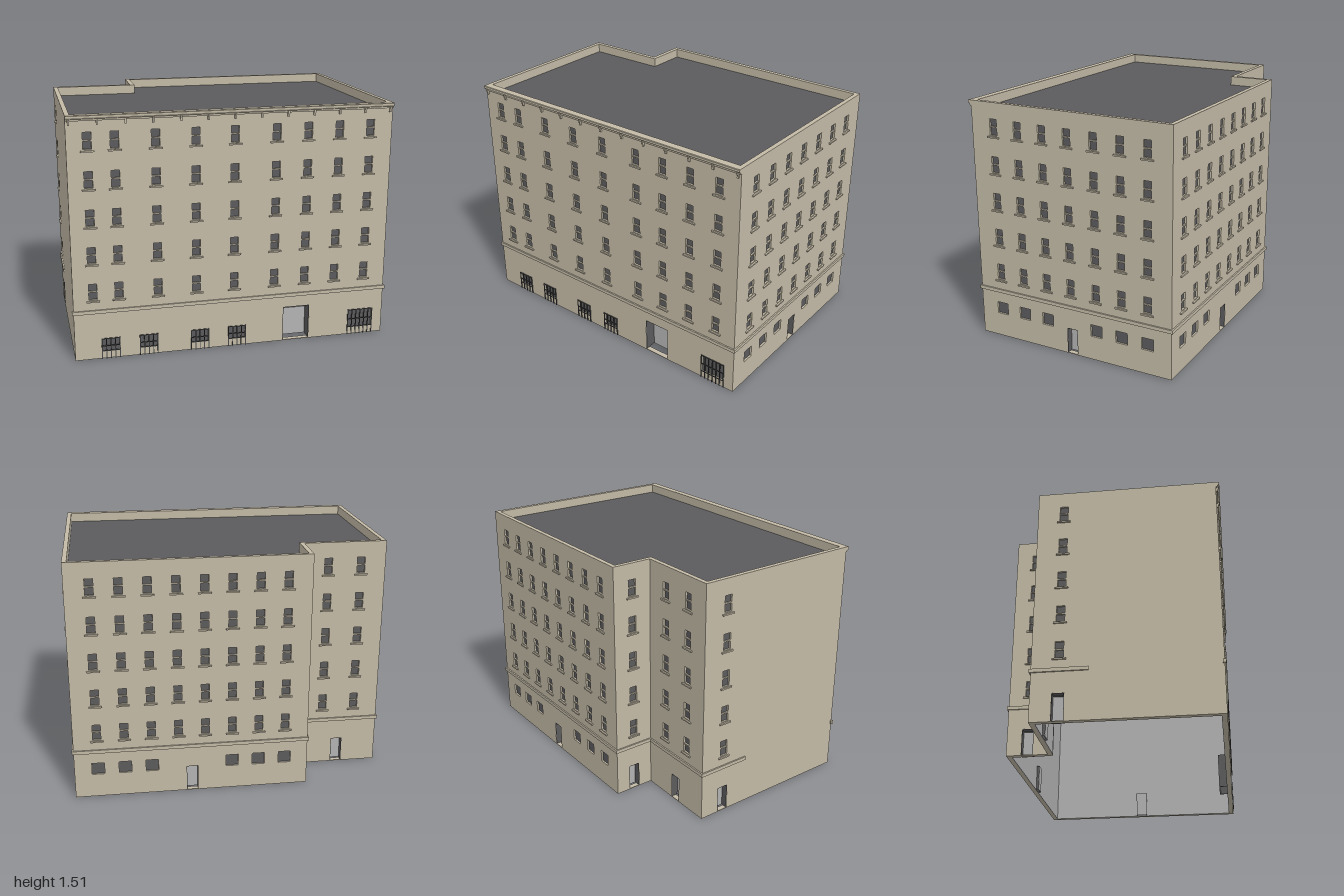
import * as THREE from 'three';
import { mergeGeometries } from 'three/addons/utils/BufferGeometryUtils.js';

const T = 0.028;        // wall thickness
const H = 1.507;        // parapet height
const ROOF = 1.45;      // roof level
const X = 0.99, FRONT = 0.665, BACK = -0.675, STEP = -0.47, WING = -0.42;

const mat = (name, color) => {
  const m = new THREE.MeshStandardMaterial({ color });
  m.name = name;
  return m;
};

const box = (w, h, d, x, y, z) => new THREE.BoxGeometry(w, h, d).translate(x, y, z);

function addMerged(group, name, geos, material) {
  if (!geos.length) return;
  const mesh = new THREE.Mesh(mergeGeometries(geos), material);
  mesh.name = name;
  group.add(mesh);
}

// Upright panel from u0 to u1 with rectangular holes, front face on z
function panel(u0, u1, h, holes, depth, z) {
  const s = new THREE.Shape([[u0, 0], [u1, 0], [u1, h], [u0, h]].map(p => new THREE.Vector2(...p)));
  for (const { u, y, w, h: hh } of holes) {
    const a = u - w / 2, b = u + w / 2;
    s.holes.push(new THREE.Path([[a, y], [a, y + hh], [b, y + hh], [b, y]].map(p => new THREE.Vector2(...p))));
  }
  return new THREE.ExtrudeGeometry(s, { depth, bevelEnabled: false }).translate(0, 0, z - depth);
}

export function createModel() {
  const stone = mat('stone', 0xc3baa6);
  const dark = mat('dark glass and roof', 0x5b5b5d);
  const grey = mat('light grey', 0xb3b3b3);
  const metal = mat('dark metal', 0x48484a);
  const model = new THREE.Group();
  model.name = 'building';

  // One facade: local x runs left to right seen from outside, local z points out
  function facade(name, x, z, turn, length, o) {
    const g = new THREE.Group();
    g.name = name;
    g.position.set(x, 0, z);
    g.rotation.y = turn;
    const panes = [], trim = [], jambs = [], leaves = [];

    // Sash windows on five floors
    const sashes = [];
    for (let floor = 0; floor < 5; floor++) {
      for (const u of o.columns) {
        const y = 0.387 + floor * 0.23;
        sashes.push({ u, y, w: 0.05, h: 0.1 });
        trim.push(box(0.05, 0.008, 0.012, u, y + 0.051, -0.008));
        trim.push(box(0.08, 0.009, 0.018, u, y - 0.011, 0.001));
      }
    }
    // Ground floor windows
    const low = o.low || [];
    for (const { u, y, w, h } of [...sashes, ...low]) {
      panes.push(box(w + 0.006, h + 0.006, 0.004, u, y + h / 2, -0.014));
    }
    // Recessed doors with dark jambs and optional dark header
    const doors = o.doors || [];
    for (const { u, y, w, h, deep, header = 0.006 } of doors) {
      for (const s of [-1, 1]) jambs.push(box(0.004, h, deep, u + s * (w / 2 - 0.001), y + h / 2, -deep / 2 - 0.001));
      jambs.push(box(w, 0.004, deep, u, y + h - 0.001, -deep / 2 - 0.001));
      jambs.push(box(w, header, 0.008, u, y + h - header / 2, -deep + 0.006));
      leaves.push(box(w, h, 0.006, u, y + h / 2, -deep));
    }
    // Belt course
    const beltEnd = o.beltEnd ?? length + 0.009;
    trim.push(box(beltEnd + 0.009, 0.022, 0.019, (beltEnd - 0.009) / 2, 0.309, -0.0005));

    addMerged(g, 'wall', [panel(0, length, H, [...sashes, ...low, ...doors], T, 0)], stone);
    addMerged(g, 'innerLining', [panel(T, length - T, ROOF - 0.01, doors, 0.004, -T)], grey);
    addMerged(g, 'windowPanes', panes, dark);
    addMerged(g, 'sillsAndBelt', trim, stone);
    addMerged(g, 'doorFrames', jambs, dark);
    addMerged(g, 'doors', leaves, grey);
    model.add(g);
    return g;
  }

  const door = (u, w = 0.074) => ({ u, y: 0.004, w, h: 0.164, deep: 0.045 });
  const square = u => ({ u, y: 0.152, w: 0.078, h: 0.076 });

  // Front: barred windows and a wide vehicle door
  const barred = [[-0.772, 0.115, 0.133], [-0.538, 0.115, 0.133], [-0.217, 0.115, 0.133],
    [0.02, 0.115, 0.133], [0.84, 0.17, 0.17]];
  const front = facade('frontFacade', -X, FRONT, 0, 2 * X, {
    columns: [-0.87, -0.713, -0.475, -0.237, 0, 0.257, 0.455, 0.652, 0.85].map(v => v + X),
    low: barred.map(([c, w, h]) => ({ u: c + X, y: 0.045, w: w - 0.006, h: h - 0.048 })),
    doors: [{ u: 0.407 + X, y: 0.004, w: 0.174, h: 0.224, deep: 0.08, header: 0.04 }],
  });

  // Window grilles standing on the ground
  const bars = [];
  for (const [c, w, h] of barred) {
    const n = Math.round(w / 0.028);
    for (let i = 0; i <= n; i++) bars.push(box(0.005, h, 0.005, c + X + (i / n - 0.5) * (w - 0.005), h / 2, 0.004));
    for (const y of [0.05, h * 0.62, h - 0.003]) bars.push(box(w, 0.005, 0.004, c + X, y, 0.004));
  }
  addMerged(front, 'windowGrilles', bars, metal);

  // Cornice moulding and its brackets
  const profile = new THREE.Shape([[-0.005, 1.473], [0.008, 1.473], [0.01, 1.484], [0.017, 1.488],
    [0.021, 1.494], [0.021, 1.504], [0.017, H], [-0.005, H]].map(p => new THREE.Vector2(...p)));
  const cornice = new THREE.ExtrudeGeometry(profile, { depth: 2 * X, bevelEnabled: false });
  cornice.rotateY(-Math.PI / 2).scale(-1, 1, 1);
  // restore outward winding after the mirror
  const pos = cornice.attributes.position;
  for (let i = 0; i < pos.count; i += 3) {
    const a = new THREE.Vector3().fromBufferAttribute(pos, i);
    const b = new THREE.Vector3().fromBufferAttribute(pos, i + 2);
    pos.setXYZ(i, b.x, b.y, b.z);
    pos.setXYZ(i + 2, a.x, a.y, a.z);
  }
  cornice.computeVertexNormals();
  addMerged(front, 'cornice', [cornice], stone);
  const brackets = [];
  for (let i = 0; i < 13; i++) {
    const u = 0.018 + i * 0.162;
    brackets.push(box(0.011, 0.026, 0.012, u, 1.462, 0.005), box(0.011, 0.014, 0.017, u, 1.475, 0.008));
  }
  addMerged(front, 'corniceBrackets', brackets, stone);

  // Right side
  const sideZ = [0.51, 0.34, 0.17, 0, -0.175, -0.347, -0.52].map(z => FRONT - z);
  facade('rightFacade', X, FRONT, Math.PI / 2, FRONT - BACK, {
    columns: sideZ,
    low: sideZ.filter((_, i) => i !== 3).map(square),
    doors: [door(FRONT + 0.006)],
  });

  // Main back wall
  const backLength = X - STEP;
  const backU = Array.from({ length: 8 }, (_, i) => backLength * (0.1 + i * 0.8 / 7));
  facade('backFacade', X, BACK, Math.PI, backLength, {
    columns: backU,
    low: backU.filter((_, i) => i < 3 || i > 4).map(square),
    doors: [door(backLength / 2)],
  });

  // Short return wall of the step
  const stepLength = WING - BACK;
  facade('stepFacade', STEP, BACK, -Math.PI / 2, stepLength + T, {
    columns: [stepLength / 2],
    doors: [door(stepLength / 2)],
    beltEnd: stepLength,
  });

  // Back wall of the wing
  const wingLength = STEP + X;
  facade('wingBackFacade', STEP + T, WING, Math.PI, wingLength + T, {
    columns: [T + wingLength * 0.3, T + wingLength * 0.7],
    doors: [door(T + wingLength / 2)],
  });

  // Left side, mostly blank
  facade('leftFacade', -X, WING, -Math.PI / 2, FRONT - WING, {
    columns: [0.16],
    doors: [door(0.16)],
    beltEnd: 0.33,
  });

  // Flat roof with a light ceiling beneath
  const i = T - 0.004;
  const plan = new THREE.Shape([[-X + i, -FRONT + i], [X - i, -FRONT + i], [X - i, -BACK - i],
    [STEP + i, -BACK - i], [STEP + i, -WING - i], [-X + i, -WING - i]].map(p => new THREE.Vector2(...p)));
  const slab = (name, y, material) => {
    const geo = new THREE.ExtrudeGeometry(plan, { depth: 0.008, bevelEnabled: false });
    geo.rotateX(-Math.PI / 2).translate(0, y - 0.008, 0);
    addMerged(model, name, [geo], material);
  };
  slab('roof', ROOF, dark);
  slab('ceiling', ROOF - 0.008, grey);

  return model;
}
